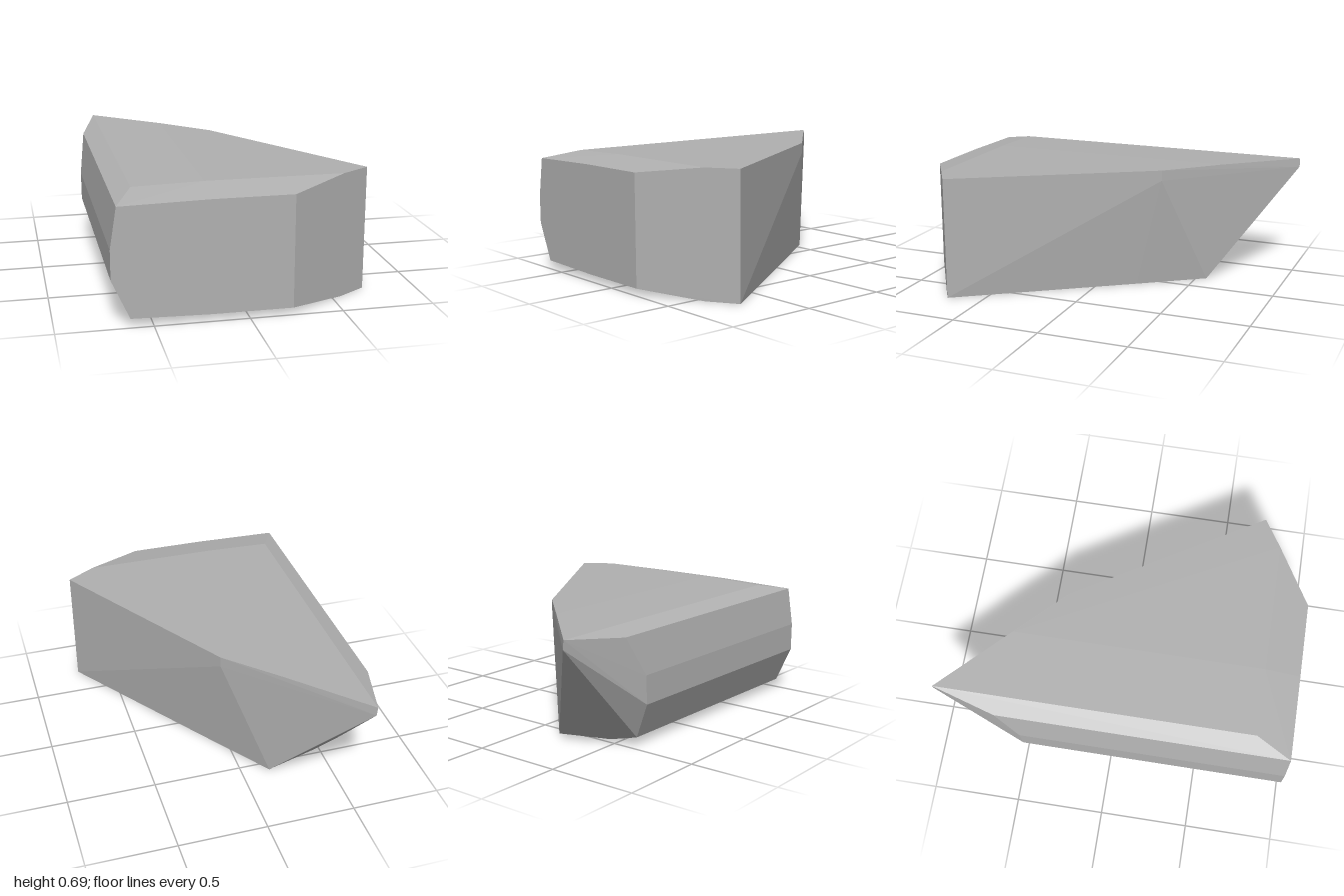
import * as THREE from 'three';
import { ConvexGeometry } from 'three/addons/geometries/ConvexGeometry.js';

export function createModel() {
  const group = new THREE.Group();
  group.name = 'rock';
  const stoneGrey = new THREE.MeshStandardMaterial({ color: 0xb0b0b0 });
  stoneGrey.name = 'stone grey';

  const corners = [
    // flat front face
    [-0.68, 0.64, 1], [-0.2, 0.65, 1], [0.23, 0.65, 1], [0.23, 0.04, 1],
    [-0.2, 0.04, 1], [-0.62, 0.05, 1], [-0.715, 0.26, 1], [-0.715, 0.42, 1],
    // upright edge on the +x side
    [0.71, 0.69, 0.7], [0.71, 0, 0.7],
    // top plane and its pointed back tip
    [0.55, 0.69, 0.8], [-0.2, 0.69, 0.8], [-0.58, 0.68, 0.8],
    [0.07, 0.69, -0.35], [0.07, 0.63, -0.35], [-0.2, 0.69, -0.62],
    [-0.58, 0.68, -1], [-0.575, 0.63, -1],
    // bottom plane
    [0.55, 0, 0.8], [-0.2, 0, 0.8], [-0.46, 0.01, 0.8],
    [0.085, 0, -0.21], [-0.16, 0, -0.56], [-0.46, 0.01, -0.48],
    // back ends of the bevels along the -x side
    [-0.68, 0.64, -0.64], [-0.715, 0.42, -0.51],
    [-0.715, 0.26, -0.5], [-0.62, 0.05, -0.46],
  ].map((c) => new THREE.Vector3(...c));

  // one faceted block spanning the corners
  const block = new THREE.Mesh(new ConvexGeometry(corners), stoneGrey);
  block.name = 'rockBlock';
  group.add(block);
  return group;
}
